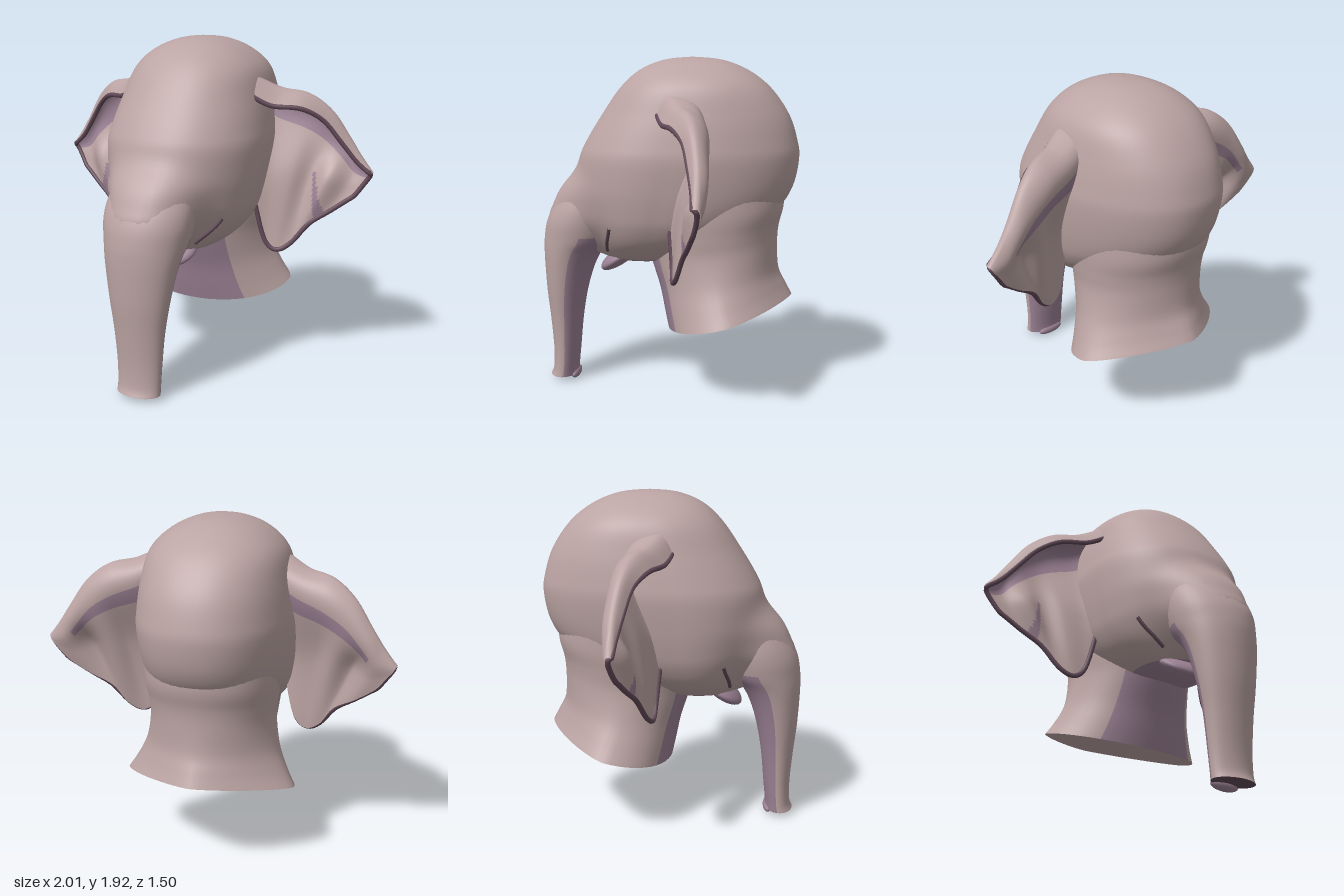
import * as THREE from 'three';

const skin = new THREE.MeshStandardMaterial({ color: 0xbba4a3 });
skin.name = 'skin';
const mauve = new THREE.MeshStandardMaterial({ color: 0x9b8194 });
mauve.name = 'mauve underside';
const rim = new THREE.MeshStandardMaterial({ color: 0x624a58 });
rim.name = 'dark rim';

// Smooth interpolation through table rows, t in 0..rows.length-1
function sample(rows, t) {
  const n = rows.length - 1;
  const i = Math.min(Math.floor(t), n - 1), f = t - i;
  const at = (k) => rows[Math.max(0, Math.min(n, k))];
  const [a, b, c, d] = [at(i - 1), at(i), at(i + 1), at(i + 2)];
  return b.map((_, k) => b[k] + 0.5 * f * (c[k] - a[k]
    + f * (2 * a[k] - 5 * b[k] + 4 * c[k] - d[k] + f * (3 * (b[k] - c[k]) + d[k] - a[k]))));
}

// Surface from point(u, v); pick(u, v) returns 0 or 1 to choose the material
function surface(point, nu, nv, { wrap = false, flip = false, pick = () => 0 } = {}) {
  const cols = wrap ? nu : nu + 1;
  const pos = [], parts = [[], []];
  for (let j = 0; j <= nv; j++)
    for (let i = 0; i < cols; i++) pos.push(...point(i / nu, j / nv));
  for (let j = 0; j < nv; j++) {
    for (let i = 0; i < nu; i++) {
      const k = wrap ? (i + 1) % nu : i + 1;
      const a = j * cols + i, b = a + cols, c = j * cols + k, d = c + cols;
      const out = parts[pick((i + 0.5) / nu, (j + 0.5) / nv)];
      if (flip) out.push(a, c, b, c, d, b);
      else out.push(a, b, c, c, b, d);
    }
  }
  const g = new THREE.BufferGeometry();
  g.setAttribute('position', new THREE.Float32BufferAttribute(pos, 3));
  g.setIndex(parts.flat());
  g.addGroup(0, parts[0].length, 0);
  g.addGroup(parts[0].length, parts[1].length, 1);
  g.computeVertexNormals();
  return g;
}

function add(parent, name, geometry, material) {
  const m = new THREE.Mesh(geometry, material);
  m.name = name;
  parent.add(m);
  return m;
}

// Angle from the front, 0 (front) to PI (back)
const fromFront = (u) => Math.PI * 2 * Math.min(u, 1 - u);

// Head rows: y, widest z, back z, front z, half width, muzzle half width, muzzle front z
const headRows = [
  [1.925, -0.13, -0.131, -0.129, 0.001, 0.001, -0.129],
  [1.908, -0.13, -0.3, 0.03, 0.13, 0.02, -0.1],
  [1.85, -0.13, -0.45, 0.17, 0.26, 0.05, -0.05],
  [1.75, -0.13, -0.58, 0.28, 0.36, 0.1, 0.0],
  [1.6, -0.1, -0.685, 0.385, 0.405, 0.15, 0.12],
  [1.45, -0.04, -0.735, 0.475, 0.435, 0.2, 0.3],
  [1.35, 0, -0.745, 0.505, 0.447, 0.26, 0.43],
  [1.2, 0.04, -0.715, 0.48, 0.437, 0.3, 0.61],
  [1.08, 0.06, -0.64, 0.45, 0.42, 0.29, 0.685],
  [0.98, 0.08, -0.5, 0.42, 0.395, 0.26, 0.71],
  [0.88, 0.1, -0.3, 0.39, 0.34, 0.2, 0.6],
  [0.8, 0.12, -0.1, 0.36, 0.25, 0.14, 0.45],
  [0.76, 0.14, 0.0, 0.32, 0.15, 0.08, 0.3],
  [0.748, 0.15, 0.149, 0.151, 0.001, 0.001, 0.151],
];
function headPoint(t, a) {
  const [y, zc, zb, zf, w, mw, mf] = sample(headRows, t);
  const s = Math.abs(Math.sin(a)), c = Math.cos(a);
  const p = 2.3;
  let r = ((s / w) ** p + Math.abs(c / (c > 0 ? zf - zc : zc - zb)) ** p) ** (-1 / p);
  if (c > 0) {
    // The muzzle grows smoothly out of the face
    const m = ((s / mw) ** 2.6 + (c / Math.max(mf - zc, 0.001)) ** 2.6) ** (-1 / 2.6);
    r = (r ** 8 + m ** 8) ** (1 / 8);
  }
  return [r * Math.sin(a), y, zc + r * c];
}

// Trunk rows: y, front z, back z, half width
const trunkRows = [
  [1.35, 0.44, 0.2, 0.15], [1.2, 0.59, 0.26, 0.22], [1.08, 0.68, 0.28, 0.25],
  [0.98, 0.728, 0.29, 0.255],
  [0.88, 0.747, 0.32, 0.24], [0.8, 0.75, 0.4, 0.22], [0.7, 0.747, 0.455, 0.2],
  [0.55, 0.738, 0.5, 0.175], [0.38, 0.72, 0.53, 0.15], [0.2, 0.706, 0.548, 0.135],
  [0.08, 0.708, 0.56, 0.13], [0.03, 0.725, 0.56, 0.13],
];
function trunkPoint(t, a) {
  const [y, zf, zb, w] = sample(trunkRows, t);
  return [w * Math.sin(a), y, (zf + zb) / 2 + (zf - zb) / 2 * Math.cos(a)];
}

// Neck rows: front y, back y, front z, back z, half width, squareness of the back
const neckRows = [
  [1.15, 1.3, 0.12, -0.66, 0.37, 2.2], [0.98, 1.1, 0.13, -0.665, 0.37, 2.2],
  [0.87, 0.97, 0.12, -0.637, 0.36, 2.1],
  [0.76, 0.86, 0.1, -0.63, 0.355, 2], [0.6, 0.72, 0.05, -0.64, 0.385, 1.7],
  [0.46, 0.63, 0.02, -0.682, 0.44, 1.45], [0.37, 0.56, 0, -0.72, 0.49, 1.35],
];
function neckPoint(t, a) {
  const [yf, yb, zf, zb, w, back] = sample(neckRows, t);
  const s = Math.sin(a), c = Math.cos(a), p = c > 0 ? 2.1 : back;
  const r = (Math.abs(s) ** p + Math.abs(c) ** p) ** (-1 / p);
  const k = (1 + r * c) / 2;
  return [w * r * s, yb + (yf - yb) * k, zb + (zf - zb) * k];
}

// Flat end for a loft
function cap(point, t, centre) {
  return surface((u, v) => point(t, u * Math.PI * 2).map((p, k) => p + (centre[k] - p) * v * 0.999),
    56, 1, { wrap: true });
}

// Ear columns from root to tip: front lip, ridge, back of fold, middle, lower edge
const earColumns = [
  [0.38, 1.6, 0.01, 0.37, 1.69, -0.06, 0.35, 1.6, -0.2, 0.38, 1.2, -0.07, 0.38, 0.98, -0.05],
  [0.48, 1.55, -0.03, 0.49, 1.635, -0.12, 0.46, 1.54, -0.23, 0.45, 1.15, -0.1, 0.43, 0.78, -0.07],
  [0.62, 1.535, -0.1, 0.63, 1.605, -0.18, 0.61, 1.48, -0.26, 0.56, 1.15, -0.14, 0.5, 0.72, -0.08],
  [0.73, 1.47, -0.17, 0.75, 1.515, -0.22, 0.73, 1.4, -0.27, 0.65, 1.15, -0.2, 0.58, 0.765, -0.11],
  [0.83, 1.345, -0.21, 0.85, 1.37, -0.245, 0.83, 1.29, -0.275, 0.76, 1.14, -0.17, 0.67, 0.88, -0.15],
  [0.91, 1.245, -0.235, 0.92, 1.265, -0.25, 0.9, 1.2, -0.27, 0.85, 1.1, -0.23, 0.78, 0.96, -0.19],
  [0.985, 1.18, -0.245, 0.988, 1.18, -0.25, 0.98, 1.165, -0.255, 0.95, 1.12, -0.25, 0.9, 1.05, -0.23],
];
function earPoint(u, v) {
  const c = sample(earColumns, u * 6);
  return sample([0, 3, 6, 9, 12].map((k) => c.slice(k, k + 3)), v * 4);
}

function makeEar(side) {
  const ear = new THREE.Group();
  ear.name = side > 0 ? 'leftEar' : 'rightEar';
  const point = (u, v) => {
    const [x, y, z] = earPoint(u, v);
    return [side * x, y, z];
  };
  // Mauve under the fold and along one slanted crease
  const nu = 60, nv = 48;
  const inCrease = (u, v) => v > 0.73 && v < 0.97
    && Math.abs(u - 0.52 - (v - 0.73) * 0.95) < 0.015 + (v - 0.73) * 0.13;
  const front = surface(point, nu, nv,
    { flip: side < 0, pick: (u, v) => (v < 0.57 || inCrease(u, v) ? 1 : 0) });
  add(ear, 'earInside', front, [skin, mauve]);

  // Back layer, set behind the front one to give thickness
  const p = front.attributes.position, n = front.attributes.normal;
  const back = surface((u, v) => {
    const i = Math.round(v * nv) * (nu + 1) + Math.round(u * nu);
    return [p.getX(i) - 0.02 * n.getX(i), p.getY(i) - 0.02 * n.getY(i), p.getZ(i) - 0.02 * n.getZ(i)];
  }, nu, nv, { flip: side > 0, pick: (u, v) => (v > 0.52 && v < 0.58 && u > 0.1 && u < 0.75 ? 1 : 0) });
  add(ear, 'earBack', back, [skin, mauve]);

  // Rim along the lip, tip and lower edge
  const edge = [];
  for (let i = 0; i <= 18; i++) edge.push([i / 18, 0]);
  for (let i = 1; i < 4; i++) edge.push([1, i / 4]);
  for (let i = 18; i >= 0; i--) edge.push([i / 18, 1]);
  const path = new THREE.CatmullRomCurve3(edge.map(([u, v]) => {
    const lift = v === 0 ? 0.01 : 0;
    return new THREE.Vector3(...point(u, v)).add(new THREE.Vector3(0, lift, lift));
  }));
  add(ear, 'earRim', new THREE.TubeGeometry(path, 120, 0.014, 8), rim);
  return ear;
}

export function createModel() {
  const model = new THREE.Group();
  model.name = 'elephantHead';
  const turn = Math.PI * 2;

  add(model, 'head', surface((u, v) => headPoint(v * (headRows.length - 1), u * turn), 80, 78,
    { wrap: true, pick: (u, v) => (v > 0.88 ? 1 : 0) }), [skin, mauve]);
  add(model, 'trunk', surface((u, v) => trunkPoint(v * (trunkRows.length - 1), u * turn), 40, 55,
    { wrap: true, pick: (u, v) => (v > 0.34 && fromFront(u) > 1.75 ? 1 : 0) }), [skin, mauve]);
  add(model, 'trunkEnd', cap(trunkPoint, trunkRows.length - 1, [0, 0.045, 0.64]), rim);

  // Small finger at the back of the trunk tip
  const finger = add(model, 'trunkFinger', new THREE.SphereGeometry(1, 20, 12), mauve);
  finger.scale.set(0.09, 0.03, 0.026);
  finger.position.set(0, 0.03, 0.575);

  add(model, 'neck', surface((u, v) => neckPoint(v * (neckRows.length - 1), u * turn), 56, 36,
    { wrap: true, pick: (u) => (fromFront(u) < 0.72 ? 1 : 0) }), [skin, mauve]);
  add(model, 'neckBase', cap(neckPoint, neckRows.length - 1, [0, 0.465, -0.36]), skin);

  // Lower lip
  const lip = add(model, 'lowerLip', new THREE.SphereGeometry(1, 28, 18), mauve);
  lip.scale.set(0.17, 0.05, 0.14);
  lip.position.set(0, 0.765, 0.29);
  lip.rotation.x = 0.6;

  for (const side of [1, -1]) {
    model.add(makeEar(side));
    // Mouth crease
    const crease = [[9, 1.0], [9.4, 0.95], [10, 0.83], [10.6, 0.7]]
      .map(([t, a]) => new THREE.Vector3(...headPoint(t, side * a)));
    add(model, side > 0 ? 'leftMouthCrease' : 'rightMouthCrease',
      new THREE.TubeGeometry(new THREE.CatmullRomCurve3(crease), 20, 0.011, 8), rim);
  }
  return model;
}
